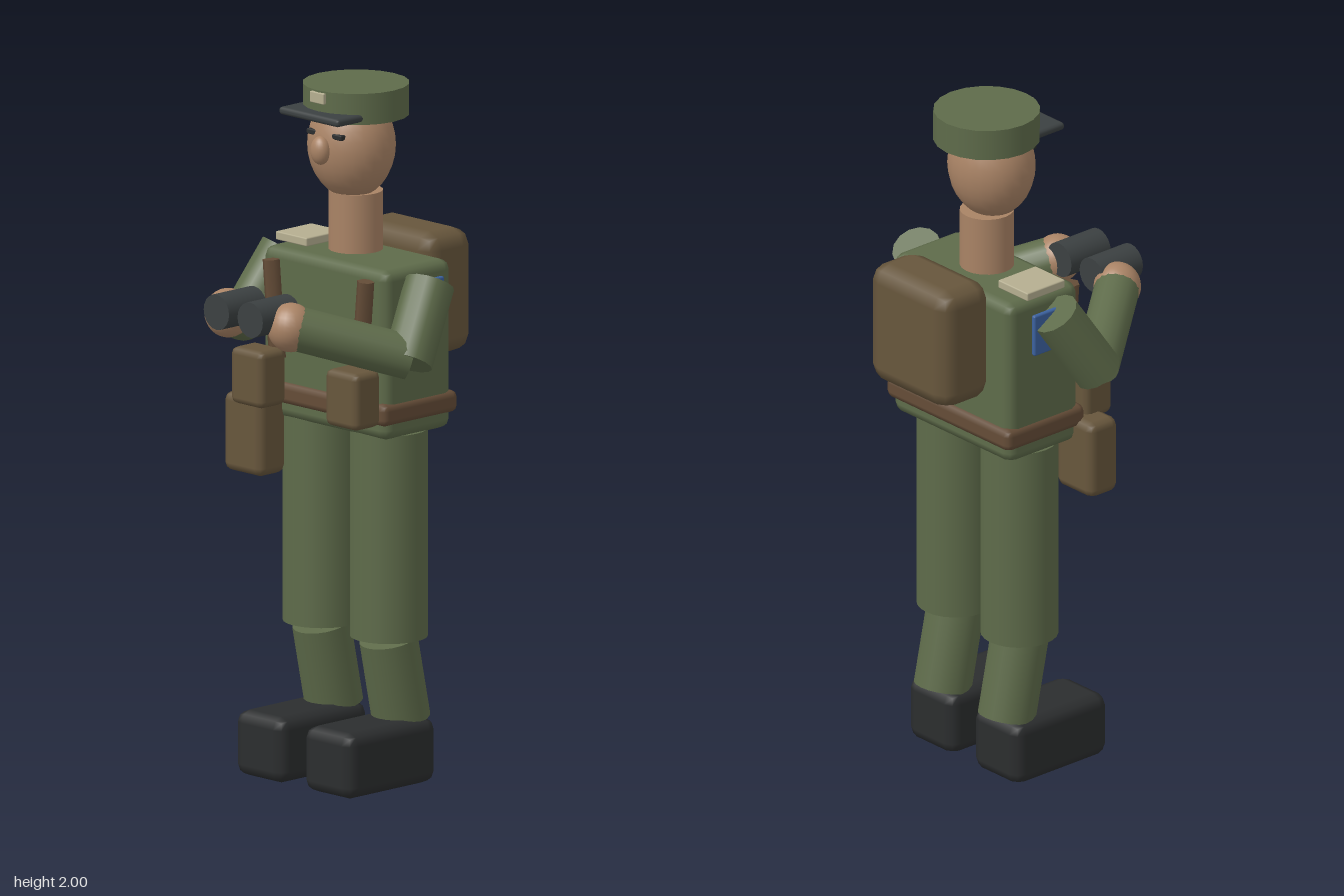
import * as THREE from 'three';
import { RoundedBoxGeometry } from 'three/addons/geometries/RoundedBoxGeometry.js';

const mat = (color) => new THREE.MeshStandardMaterial({ color });

export function createModel() {
  const root = new THREE.Group();
  const green = mat(0x5e6b4a), skin = mat(0xa98365), brown = mat(0x67563c), leather = mat(0x644c37);
  const black = mat(0x2b2d2e), dark = mat(0x3b4041), tan = mat(0xb5ae90), blue = mat(0x3c62a0);

  const add = (name, geometry, material) => {
    const mesh = new THREE.Mesh(geometry, material);
    mesh.name = name;
    root.add(mesh);
    return mesh;
  };

  // Rounded box given by its extents on each axis
  const box = (name, [x0, x1], [y0, y1], [z0, z1], radius, material) => {
    const mesh = add(name, new RoundedBoxGeometry(x1 - x0, y1 - y0, z1 - z0, 1, radius), material);
    mesh.position.set((x0 + x1) / 2, (y0 + y1) / 2, (z0 + z1) / 2);
    return mesh;
  };

  // Cylinder running between two points
  const rod = (name, from, to, radius, sides, material) => {
    const a = new THREE.Vector3(...from), b = new THREE.Vector3(...to);
    const axis = b.clone().sub(a);
    const mesh = add(name, new THREE.CylinderGeometry(radius, radius, axis.length(), sides), material);
    mesh.position.copy(a).add(b).multiplyScalar(0.5);
    mesh.quaternion.setFromUnitVectors(new THREE.Vector3(0, 1, 0), axis.normalize());
    return mesh;
  };

  const ellipsoid = (name, center, radii, material) => {
    const mesh = add(name, new THREE.SphereGeometry(1, 24, 16), material);
    mesh.position.set(...center);
    mesh.scale.set(...radii);
    return mesh;
  };

  // Torso and belt
  box('torso', [-0.25, 0.25], [1.02, 1.51], [-0.225, 0.04], 0.03, green);
  box('belt', [-0.26, 0.26], [1.065, 1.13], [-0.24, 0.055], 0.02, leather);

  // Neck, head and face
  rod('neck', [0, 1.52, -0.087], [0, 1.69, -0.087], 0.077, 20, skin);
  ellipsoid('head', [0, 1.825, -0.07], [0.13, 0.155, 0.12], skin);
  ellipsoid('nose', [0, 1.825, 0.052], [0.031, 0.041, 0.026], skin);

  // Peaked cap with a plain badge
  rod('cap', [0, 1.91, -0.088], [0, 2, -0.088], 0.151, 20, green);
  box('capVisor', [-0.12, 0.12], [1.917, 1.94], [-0.05, 0.102], 0.01, dark);
  box('capBadge', [-0.028, 0.028], [1.963, 1.995], [0.04, 0.068], 0.003, tan);

  // Backpack, shoulder pad and side holster
  box('backpack', [-0.167, 0.167], [1.2, 1.56], [-0.395, -0.212], 0.05, brown);
  box('shoulderPad', [-0.255, -0.13], [1.512, 1.537], [-0.162, -0.02], 0.004, tan);
  box('holster', [-0.32, -0.165], [0.86, 1.09], [0.02, 0.127], 0.025, brown);

  for (const [side, s] of [['left', 1], ['right', -1]]) {
    const span = (a, b) => (s > 0 ? [a, b] : [-b, -a]);

    // Eyes
    box(side + 'Eye', span(0.03, 0.07), [1.86, 1.876], [0.01, 0.04], 0.004, black);

    // Leg and boot
    rod(side + 'UpperLeg', [s * 0.135, 0.425, -0.085], [s * 0.135, 1.025, -0.085], 0.11, 24, green);
    rod(side + 'LowerLeg', [s * 0.135, 0.18, -0.133], [s * 0.135, 0.417, -0.083], 0.083, 20, green);
    box(side + 'Boot', span(0.04, 0.235), [0, 0.19], [-0.183, 0.167], 0.035, black);

    // Arm bent forward to the binoculars
    rod(side + 'UpperArm', [s * 0.292, 1.467, -0.092], [s * 0.333, 1.265, 0.035], 0.071, 14, green);
    rod(side + 'Forearm', [s * 0.333, 1.28, 0.028], [s * 0.13, 1.375, 0.288], 0.064, 18, green);
    ellipsoid(side + 'Hand', [s * 0.126, 1.375, 0.292], [0.067, 0.07, 0.067], skin);
    box(side + 'ArmPatch', span(0.268, 0.283), [1.35, 1.475], [-0.16, -0.068], 0.006, blue);

    // Binocular barrel
    rod(side + 'BinocularBarrel', [s * 0.068, 1.403, 0.247], [s * 0.068, 1.403, 0.395], 0.051, 20, dark);

    // Chest strap and belt pouch
    rod(side + 'Strap', [s * 0.19, 1.48, 0.06], [s * 0.165, 1.2, 0.06], 0.025, 6, leather);
    box(side + 'Pouch', span(0.125, 0.255), [1.07, 1.235], [0.06, 0.162], 0.02, brown);
  }
  return root;
}
